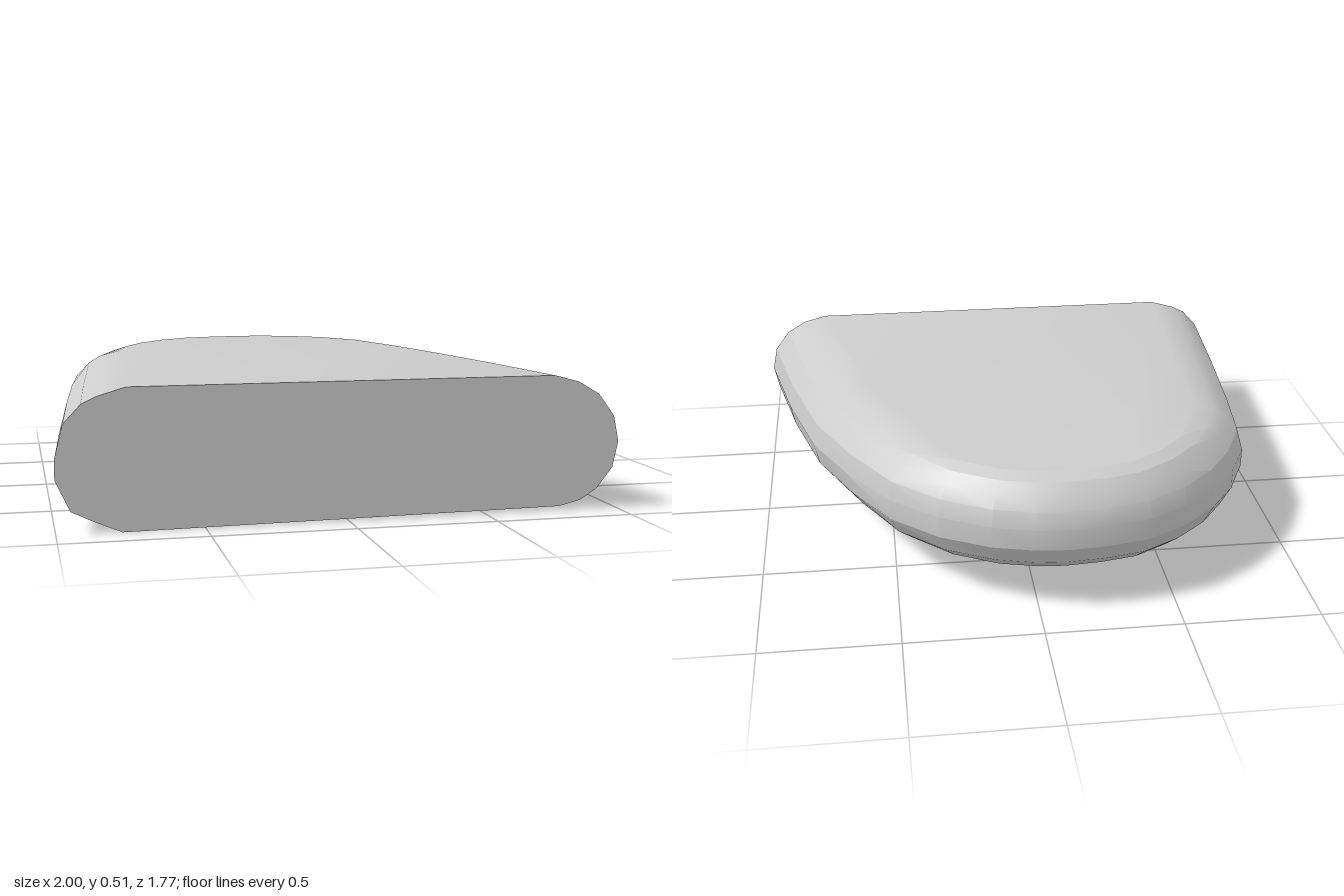
import * as THREE from 'three';
import { ConvexGeometry } from 'three/addons/geometries/ConvexGeometry.js';
import { toCreasedNormals } from 'three/addons/utils/BufferGeometryUtils.js';

// Plan outline (x, z) from the front right corner, round the back, to the front left
const OUTLINE = [
  [-1, 0.88], [-0.96, 0.4], [-0.92, 0], [-0.88, -0.29], [-0.79, -0.48], [-0.68, -0.63],
  [-0.55, -0.75], [-0.4, -0.84], [-0.25, -0.875], [-0.1, -0.89], [0.02, -0.88], [0.17, -0.84],
  [0.35, -0.74], [0.52, -0.57], [0.67, -0.3], [0.8, 0], [0.91, 0.42], [1, 0.88],
].map(([x, z]) => new THREE.Vector2(x, z));

// Rounded rim sections: [inset from the outline, fraction of the height]
const RIGHT = [[0.22, 0], [0.13, 0.08], [0.05, 0.16], [0, 0.38], [0, 0.52], [0.03, 0.76], [0.09, 0.89], [0.14, 0.94], [0.24, 1]];
const BACK = [[0.14, 0], [0.09, 0.07], [0.035, 0.19], [0, 0.37], [0, 0.58], [0.02, 0.74], [0.055, 0.86], [0.09, 0.95], [0.14, 1]];
const LEFT = [[0.22, 0], [0.14, 0.04], [0.08, 0.12], [0.02, 0.28], [0, 0.48], [0.02, 0.68], [0.08, 0.85], [0.16, 0.95], [0.25, 1]];

// Tilted underside and nearly level top
const bottomY = (x, z) => 0.015 + 0.01 * x + (0.88 - z) * 0.067;
const topY = (z) => 0.495 + (0.88 - z) * 0.012;

export function createModel() {
  const group = new THREE.Group();
  const points = [];
  const last = OUTLINE.length - 1;

  OUTLINE.forEach((p, i) => {
    // Inward direction; kept in the flat front plane at both ends
    const t = OUTLINE[Math.min(i + 1, last)].clone().sub(OUTLINE[Math.max(i - 1, 0)]).normalize();
    const inward = new THREE.Vector2(-t.y, t.x);
    if (i === 0) inward.set(1, 0);
    if (i === last) inward.set(-1, 0);

    // Blend the side section into the back section
    const side = p.x < -0.1 ? RIGHT : LEFT;
    const k = THREE.MathUtils.smoothstep(-p.y, -0.1, 0.85);
    side.forEach(([inset, f], j) => {
      const d = THREE.MathUtils.lerp(inset, BACK[j][0], k);
      const h = THREE.MathUtils.lerp(f, BACK[j][1], k);
      const x = p.x + inward.x * d;
      const z = Math.min(0.88, p.y + inward.y * d);
      points.push(new THREE.Vector3(x, THREE.MathUtils.lerp(bottomY(x, z), topY(z), h), z));
    });
  });

  // One convex body, smooth on the rim and sharp at the cut front
  const geometry = toCreasedNormals(new ConvexGeometry(points), 0.35);
  const body = new THREE.Mesh(geometry, new THREE.MeshStandardMaterial({ color: 0xcccccc }));
  body.name = 'roundedSlab';
  group.add(body);
  return group;
}
